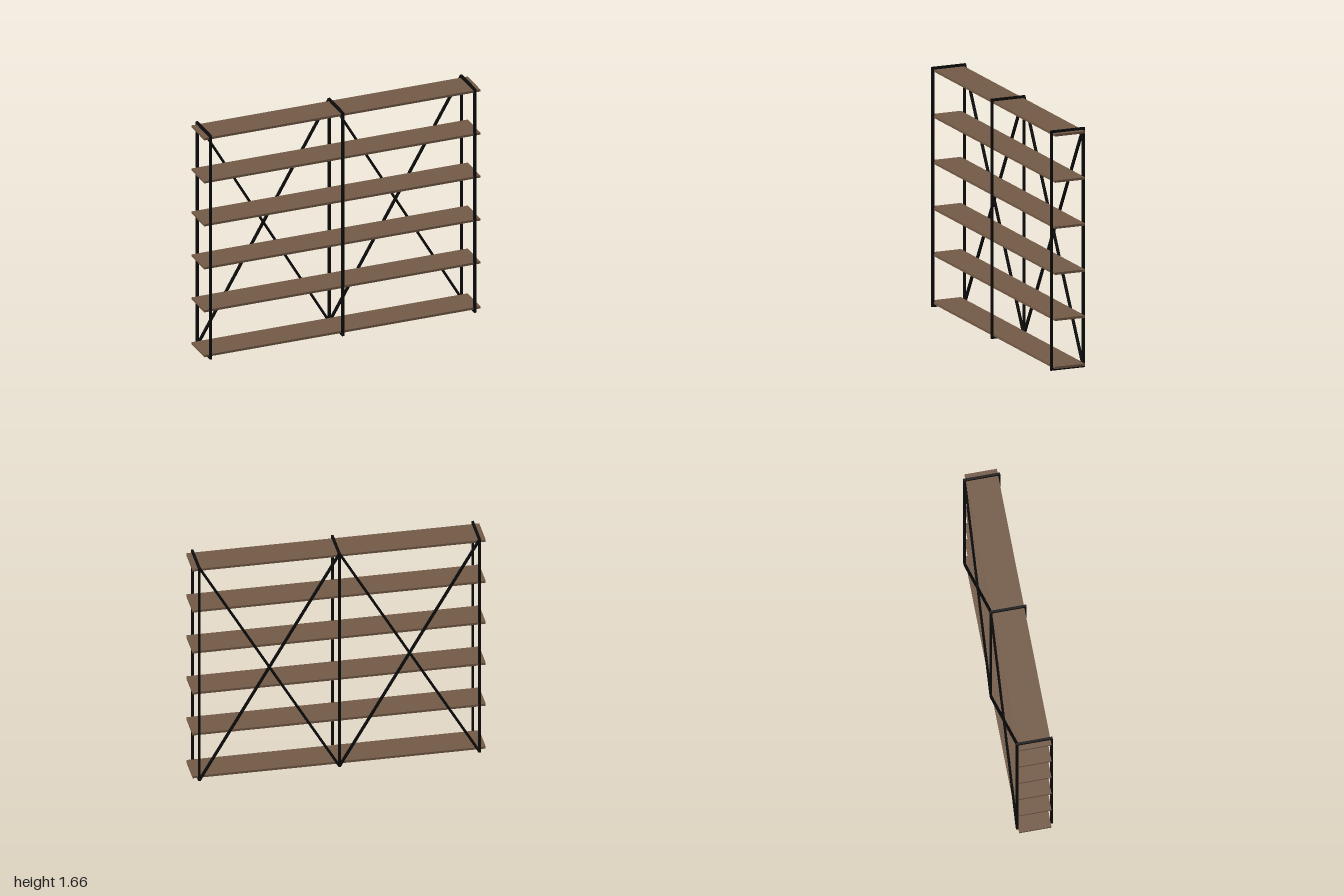
import * as THREE from 'three';

export function createModel() {
  const model = new THREE.Group();
  model.name = 'shelfUnit';
  const wood = new THREE.MeshStandardMaterial({ color: 0x735a46 });
  wood.name = 'brownWood';
  const metal = new THREE.MeshStandardMaterial({ color: 0x0c0c0c });
  metal.name = 'blackMetal';

  const BAR = 0.016, HEIGHT = 1.657, BASE = 0.002;
  const POST_Z = 0.117, FRAME_X = 0.957;

  function box(name, material, w, h, d, x, y, z, parent = model) {
    const mesh = new THREE.Mesh(new THREE.BoxGeometry(w, h, d), material);
    mesh.name = name;
    mesh.position.set(x, y, z);
    parent.add(mesh);
    return mesh;
  }

  // Six long boards
  for (const y of [0.028, 0.36, 0.678, 0.996, 1.314, 1.633]) {
    box('shelf', wood, 2, 0.016, 0.22, 0, y, 0);
  }

  // Three rectangular frames: two posts joined at top and bottom
  for (const x of [-FRAME_X, 0, FRAME_X]) {
    const frame = new THREE.Group();
    frame.name = 'frame';
    model.add(frame);
    for (const z of [-POST_Z, POST_Z]) {
      box('post', metal, BAR, HEIGHT - BASE, BAR, x, (HEIGHT + BASE) / 2, z, frame);
    }
    for (const y of [BASE + BAR / 2, HEIGHT - BAR / 2]) {
      box('crossBar', metal, BAR, BAR, 2 * POST_Z, x, y, 0, frame);
    }
  }

  // Crossed diagonal braces on the back of each bay
  const low = 0.004, high = 1.653;
  const length = Math.hypot(FRAME_X, high - low);
  const angle = Math.atan2(high - low, FRAME_X);
  for (const side of [-1, 1]) {
    for (const slope of [-1, 1]) {
      const brace = box('brace', metal, length, BAR, BAR,
        side * FRAME_X / 2, (low + high) / 2, -POST_Z);
      brace.rotation.z = slope * angle;
    }
  }
  return model;
}
